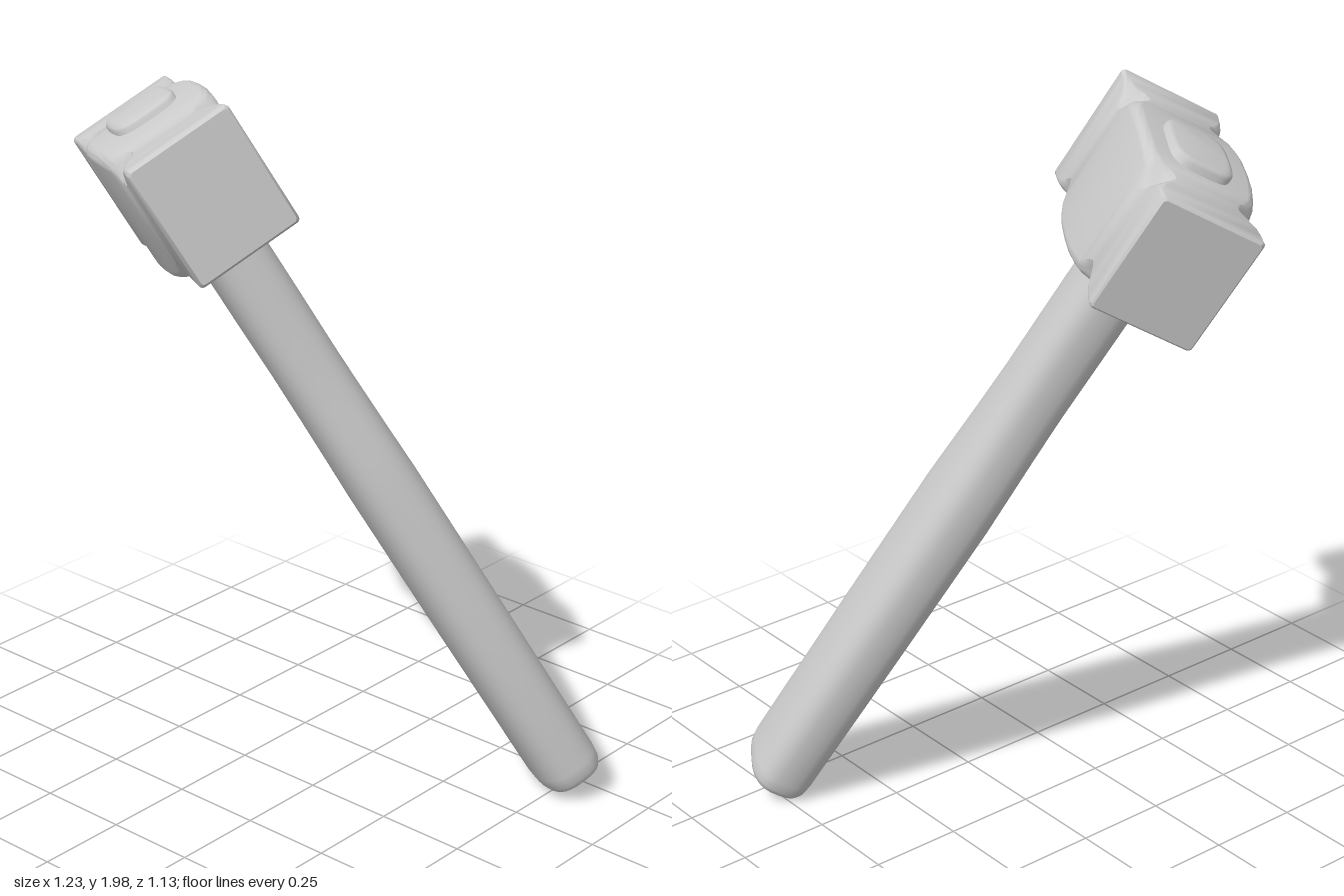
import * as THREE from 'three';
import { toCreasedNormals } from 'three/addons/utils/BufferGeometryUtils.js';

const material = new THREE.MeshStandardMaterial({ color: 0xcccccc });

// Skin a closed solid over rings that run counter-clockwise about the direction of travel
function loft(name, rings) {
  const n = rings[0].length;
  const index = [];
  for (let r = 0; r < rings.length - 1; r++) {
    for (let i = 0; i < n; i++) {
      const a = r * n + i, b = r * n + (i + 1) % n;
      index.push(a, b, b + n, a, b + n, a + n);
    }
  }
  // Flat end caps
  const last = (rings.length - 1) * n;
  for (let i = 1; i < n - 1; i++) {
    index.push(0, i + 1, i);
    index.push(last, last + i, last + i + 1);
  }
  const geometry = new THREE.BufferGeometry();
  geometry.setAttribute('position', new THREE.Float32BufferAttribute(rings.flat(2), 3));
  geometry.setIndex(index);
  const mesh = new THREE.Mesh(toCreasedNormals(geometry, 0.75), material);
  mesh.name = name;
  return mesh;
}

// Rounded rectangle across the head at x; dent presses the corners inward
function headRing([x, halfY, halfZ, radius, dent]) {
  const ring = [];
  for (let corner = 0; corner < 4; corner++) {
    const sy = corner === 0 || corner === 3 ? 1 : -1;
    const sz = corner < 2 ? 1 : -1;
    for (let k = 0; k <= 6; k++) {
      const t = (corner + k / 6) * Math.PI / 2;
      const r = radius * (1 - dent * Math.sin(k / 6 * Math.PI));
      ring.push([
        x,
        sy * (halfY - radius) + r * Math.cos(t),
        sz * (halfZ - radius) + r * Math.sin(t),
      ]);
    }
  }
  return ring;
}

// Superellipse across the handle at y
function handleRing([y, halfX, halfZ, power = 2.8]) {
  const ring = [];
  const bend = (v) => Math.sign(v) * Math.pow(Math.abs(v), 2 / power);
  for (let i = 0; i < 32; i++) {
    const t = i / 32 * Math.PI * 2;
    ring.push([-0.031 + halfX * bend(Math.sin(t)), y, -0.006 + halfZ * bend(Math.cos(t))]);
  }
  return ring;
}

export function createModel() {
  const hammer = new THREE.Group();
  hammer.name = 'hammer';

  // Head: gently bulged faces, dented edges, square ends [x, halfY, halfZ, corner radius, dent]
  const half = [
    [0, 0.186, 0.163, 0.026, 0],
    [0.06, 0.185, 0.162, 0.026, 0],
    [0.11, 0.181, 0.158, 0.028, 0],
    [0.145, 0.178, 0.154, 0.032, 0.04],
    [0.165, 0.175, 0.151, 0.043, 0.16],
    [0.182, 0.173, 0.149, 0.055, 0.3],
    [0.198, 0.171, 0.147, 0.06, 0.35],
    [0.214, 0.17, 0.146, 0.053, 0.28],
    [0.232, 0.169, 0.145, 0.036, 0.14],
    [0.255, 0.168, 0.145, 0.02, 0.03],
    [0.285, 0.168, 0.145, 0.012, 0],
    [0.319, 0.169, 0.146, 0.012, 0],
    [0.328, 0.162, 0.139, 0.01, 0],
  ];
  const mirrored = half.slice(1).reverse().map(([x, ...rest]) => [-x, ...rest]);
  hammer.add(loft('head', [...mirrored, ...half].map(headRing)));

  // Handle: full grip, narrow neck running up into the head [y, halfX, halfZ]
  const shaft = [
    [-1.962, 0.106, 0.066],
    [-1.956, 0.117, 0.077],
    [-1.94, 0.125, 0.085],
    [-1.91, 0.128, 0.088],
    [-1.4, 0.129, 0.09],
    [-0.97, 0.128, 0.09],
    [-0.86, 0.123, 0.088],
    [-0.72, 0.114, 0.086],
    [-0.58, 0.107, 0.085],
    [-0.4, 0.105, 0.086],
    [0, 0.105, 0.086],
  ];
  hammer.add(loft('handle', shaft.map(handleRing)));

  // Handle end showing through the top of the head
  const plug = [
    [0, 0.105, 0.089, 3.6],
    [0.196, 0.105, 0.089, 3.6],
    [0.203, 0.1, 0.084, 3.6],
    [0.206, 0.089, 0.073, 3.6],
  ];
  hammer.add(loft('handleTop', plug.map(handleRing)));

  // Tilt the hammer: x along the head, y up the handle
  const up = new THREE.Vector3(-0.386, 0.857, 0.345).normalize();
  const side = new THREE.Vector3(0.836, 0.152, 0.53).cross(up).normalize();
  const along = new THREE.Vector3().crossVectors(up, side);
  hammer.quaternion.setFromRotationMatrix(new THREE.Matrix4().makeBasis(along, up, side));

  // Rest on the ground, centred
  const model = new THREE.Group();
  model.add(hammer);
  const box = new THREE.Box3().setFromObject(model, true);
  const center = box.getCenter(new THREE.Vector3());
  hammer.position.set(-center.x, -box.min.y, -center.z);
  return model;
}
